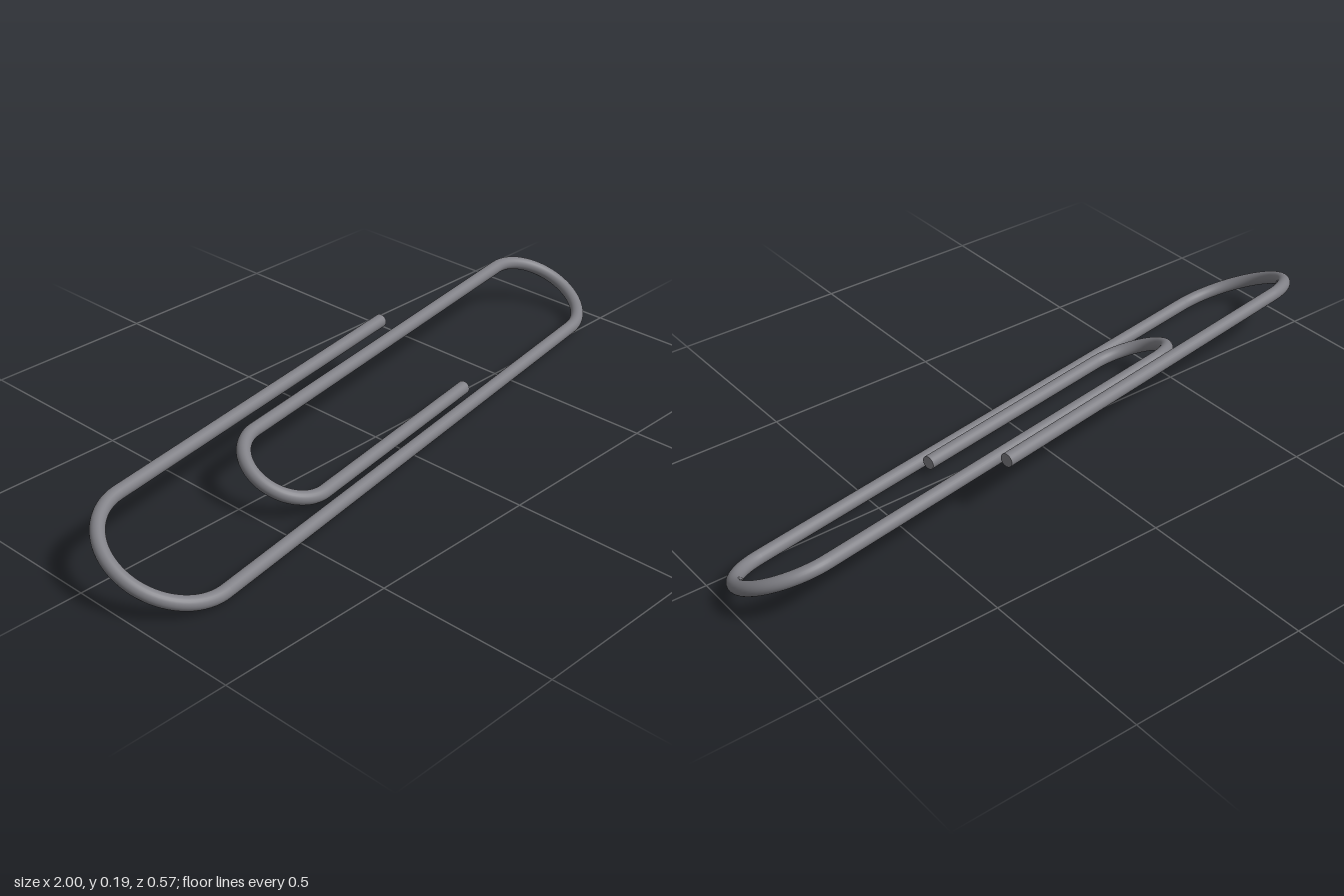
import * as THREE from 'three';

const WIRE = 0.019; // wire radius
const SIDES = 24;

export function createModel() {
  const steel = new THREE.MeshStandardMaterial({ color: 0x808086 });
  steel.name = 'steel grey';

  const model = new THREE.Group();
  model.name = 'paperClip';

  // The clip is flat: it is laid out in x/y, then tipped over and turned.
  const clip = new THREE.Group();
  clip.name = 'bentWire';
  clip.rotation.order = 'YXZ';
  clip.rotation.set(THREE.MathUtils.degToRad(26.2 - 90), THREE.MathUtils.degToRad(9.25), 0);
  clip.position.y = 0.085;
  model.add(clip);

  const add = (name, geometry, x, y) => {
    const mesh = new THREE.Mesh(geometry, steel);
    mesh.name = name;
    mesh.position.set(x, y, 0);
    clip.add(mesh);
  };

  // Straight length of wire from x0 to x1
  const leg = (name, x0, x1, y) => {
    const g = new THREE.CylinderGeometry(WIRE, WIRE, x1 - x0, SIDES);
    g.rotateZ(Math.PI / 2);
    add(name, g, (x0 + x1) / 2, y);
  };

  // Half-circle bend joining two legs; side is -1 (opens right) or 1 (opens left)
  const bend = (name, x, yLow, yHigh, side) => {
    const g = new THREE.TorusGeometry((yHigh - yLow) / 2, WIRE, SIDES, 40, Math.PI);
    g.rotateZ(-side * Math.PI / 2);
    add(name, g, x, (yLow + yHigh) / 2);
  };

  const outerY = 0.208, upperY = 0.147, innerY = -0.097, lowerY = -0.147;
  const bigX = -0.811, rightX = 0.846, innerX = -0.355;

  leg('outerFreeLeg', bigX, 0.3, outerY);
  bend('largeBend', bigX, lowerY, outerY, -1);
  leg('lowerLeg', bigX, rightX, lowerY);
  bend('rightBend', rightX, lowerY, upperY, 1);
  leg('upperLeg', innerX, rightX, upperY);
  bend('innerBend', innerX, innerY, upperY, -1);
  leg('innerFreeLeg', innerX, 0.308, innerY);

  return model;
}
